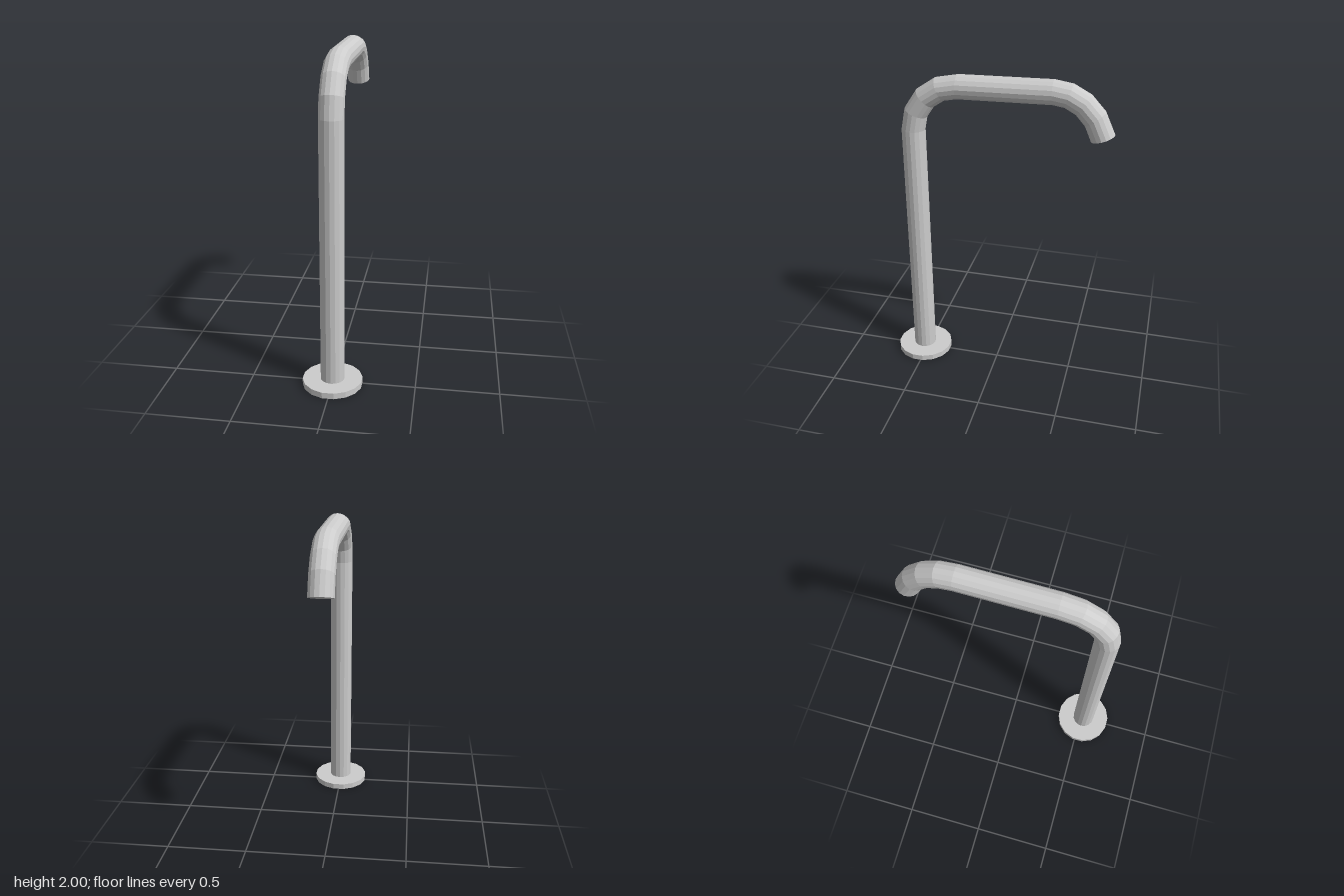
import * as THREE from 'three';

const SIDES = 16;
const RADIUS = 0.073;

// Each station is [z, y, angle]; angle 0 points up, 90 points to the back.
function pipeStations() {
  const list = [[0.522, 0.01, 0]];
  // Rear-turning elbow at the top of the riser
  const bend = 0.285;
  for (let i = 0; i <= 4; i++) {
    const a = (i / 4) * Math.PI / 2;
    list.push([0.237 + bend * Math.cos(a), 1.63 + bend * Math.sin(a), i * 22.5]);
  }
  // Horizontal arm and down-turned outlet
  list.push([-0.33, 1.927, 90], [-0.42, 1.913, 108], [-0.505, 1.867, 126],
    [-0.575, 1.79, 143], [-0.625, 1.678, 161]);
  return list;
}

// Sweeps a circle through the stations and closes the outlet end
function pipeGeometry(stations) {
  const pos = [], index = [];
  for (const [z, y, deg] of stations) {
    const a = THREE.MathUtils.degToRad(deg);
    for (let j = 0; j < SIDES; j++) {
      const t = (j / SIDES) * Math.PI * 2;
      const side = RADIUS * Math.cos(t), across = RADIUS * Math.sin(t);
      pos.push(side, y - across * Math.sin(a), z - across * Math.cos(a));
    }
  }
  const last = (stations.length - 1) * SIDES;
  const [endZ, endY] = stations[stations.length - 1];
  pos.push(0, endY, endZ);
  for (let j = 0; j < SIDES; j++) {
    const k = (j + 1) % SIDES;
    for (let r = 0; r < last; r += SIDES) {
      index.push(r + j, r + k, r + SIDES + j);
      index.push(r + k, r + SIDES + k, r + SIDES + j);
    }
    index.push(last + SIDES, last + j, last + k);
  }
  const geo = new THREE.BufferGeometry();
  geo.setAttribute('position', new THREE.Float32BufferAttribute(pos, 3));
  geo.setIndex(index);
  const flat = geo.toNonIndexed();
  flat.computeVertexNormals();
  return flat;
}

export function createModel() {
  const group = new THREE.Group();
  group.name = 'tap';
  const metal = new THREE.MeshStandardMaterial({ color: 0xcccccc });
  metal.name = 'brushed metal';

  // Curved pipe
  const pipe = new THREE.Mesh(pipeGeometry(pipeStations()), metal);
  pipe.name = 'spoutPipe';
  group.add(pipe);

  // Round mounting flange, with flat facets facing the axes
  const disc = new THREE.CylinderGeometry(0.182, 0.182, 0.037, SIDES, 1, false, Math.PI / SIDES).toNonIndexed();
  disc.computeVertexNormals();
  const flange = new THREE.Mesh(disc, metal);
  flange.name = 'baseFlange';
  flange.position.set(0, 0.0185, 0.52);
  group.add(flange);

  return group;
}
